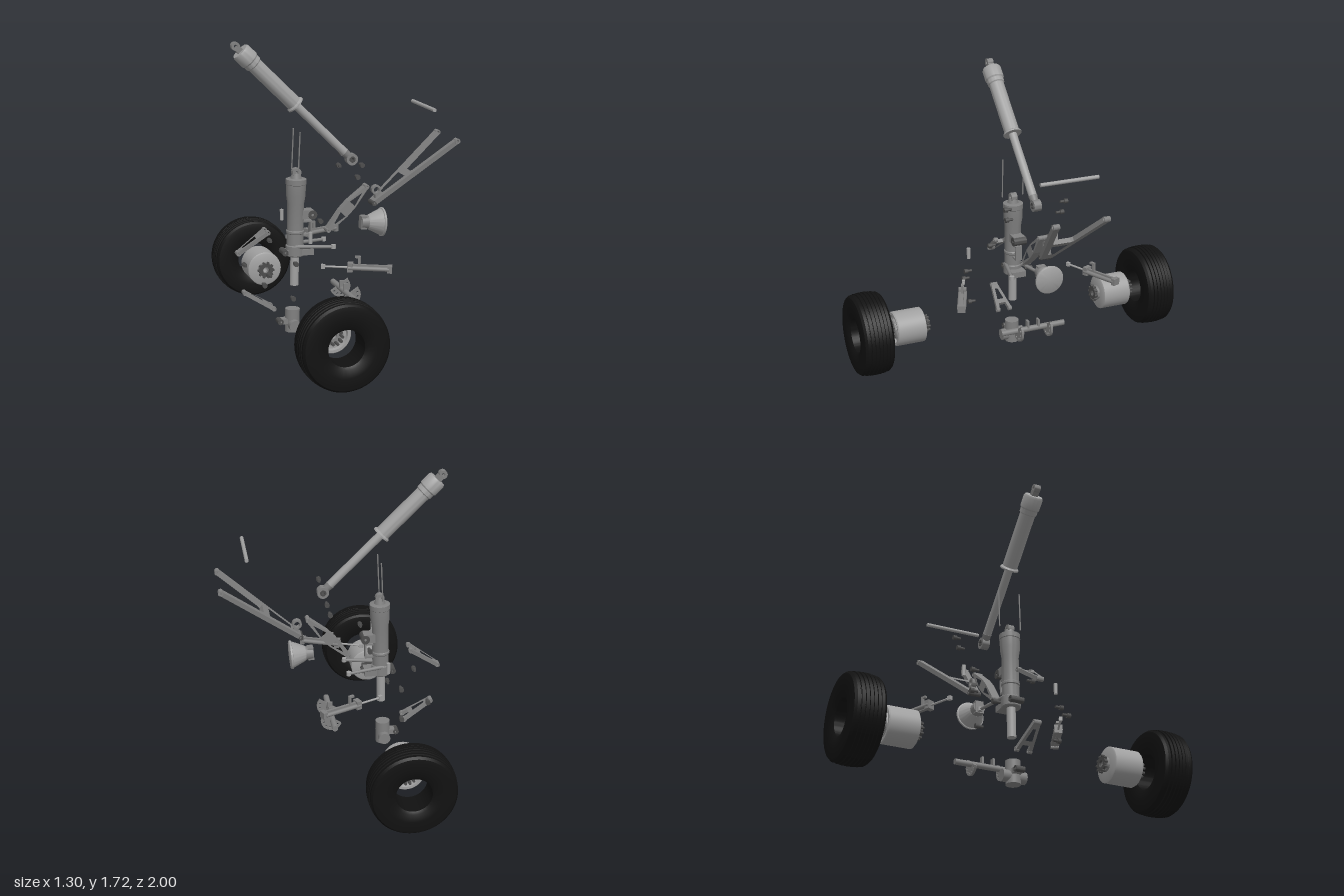
import * as THREE from 'three';
import { toCreasedNormals, mergeGeometries } from 'three/addons/utils/BufferGeometryUtils.js';

const V = (x, y, z = 0) => new THREE.Vector3(x, y, z);
const paint = (name, color) => new THREE.MeshStandardMaterial({ name, color });

export function createModel() {
  const root = new THREE.Group();
  root.name = 'explodedLandingGear';
  const rubber = paint('rubber', 0x111111);
  const light = paint('lightMetal', 0xa0a0a0);
  const mid = paint('greyMetal', 0x808080);
  const dark = paint('darkMetal', 0x4c4c4c);

  const add = (name, geo, mat, parent = root) => {
    const m = new THREE.Mesh(geo, mat);
    m.name = name;
    parent.add(m);
    return m;
  };
  // Cylinder or cone between two points
  const rodGeo = (a, b, r, r2 = r, seg = 24) => {
    const d = b.clone().sub(a);
    const g = new THREE.CylinderGeometry(r2, r, d.length(), seg);
    g.applyQuaternion(new THREE.Quaternion().setFromUnitVectors(V(0, 1), d.normalize()));
    return g.translate((a.x + b.x) / 2, (a.y + b.y) / 2, (a.z + b.z) / 2);
  };
  const rod = (name, mat, a, b, r, r2, seg, parent) => add(name, rodGeo(a, b, r, r2, seg), mat, parent);
  const box = (name, mat, w, h, d, x, y, z, parent) =>
    add(name, new THREE.BoxGeometry(w, h, d).translate(x, y, z), mat, parent);
  // Turned part; profile is [radius, height] pairs
  const turned = (pts, seg = 40, crease = 0.6) => toCreasedNormals(
    new THREE.LatheGeometry(pts.map(p => new THREE.Vector2(...p)), seg), crease);
  // Eyelet with its bore along z
  const eye = (name, mat, x, y, z, R, r, d, parent) => add(name,
    turned([[r, -d / 2], [R, -d / 2], [R, d / 2], [r, d / 2], [r, -d / 2]], 28)
      .rotateX(Math.PI / 2).translate(x, y, z), mat, parent);
  // Flat plate with cut-outs, centred on its thickness
  const plateGeo = (pts, holes, depth) => {
    const s = new THREE.Shape(pts.map(p => new THREE.Vector2(...p)));
    for (const h of holes) s.holes.push(new THREE.Path(h.map(p => new THREE.Vector2(...p))));
    return new THREE.ExtrudeGeometry(s, { depth, bevelEnabled: false }).translate(0, 0, -depth / 2);
  };
  const mirrorPts = half => [...half, ...half.slice().reverse().map(([u, v]) => [u, -v])];
  // Lays a plate along a->b in the xy plane with its width along z
  const along = (geo, a, b) => {
    const X = b.clone().sub(a).normalize();
    const M = new THREE.Matrix4().makeBasis(X, V(0, 0, 1), V(X.y, -X.x, 0)).setPosition(a);
    return geo.applyMatrix4(M);
  };

  // Wheels and brake hubs
  for (const side of [1, -1]) {
    const wheel = new THREE.Group();
    wheel.name = side > 0 ? 'frontWheel' : 'rearWheel';
    wheel.position.set(-0.31, 0.247, 0);
    if (side < 0) wheel.rotation.x = Math.PI;
    root.add(wheel);
    const tread = [];
    for (let i = -3; i <= 3; i++) {
      const z = i * 0.022, r = 0.245 - Math.abs(i) ** 2 * 0.0009;
      tread.push([r, z - 0.008], [r, z + 0.008]);
      if (i < 3) tread.push([r - 0.006, z + 0.0095], [r - 0.006, z + 0.0125]);
    }
    const tyre = [[0.1, -0.075], [0.115, -0.085], [0.16, -0.09], [0.205, -0.09], [0.226, -0.087],
      ...tread, [0.226, 0.087], [0.205, 0.09], [0.16, 0.09], [0.115, 0.085], [0.1, 0.075], [0.1, -0.075]];
    add('tyre', turned(tyre, 72).rotateX(Math.PI / 2).translate(0, 0, 0.908), rubber, wheel);
    add('brakeHub', turned([[0.02, 0.578], [0.095, 0.578], [0.103, 0.583], [0.103, 0.75], [0.098, 0.757],
      [0.083, 0.757], [0.08, 0.735], [0.062, 0.735], [0.058, 0.752], [0.02, 0.752], [0.02, 0.578]], 48)
      .rotateX(Math.PI / 2), light, wheel);
    eye('hubFace', mid, 0, 0, 0.756, 0.056, 0.02, 0.01, wheel);
    eye('hubNeck', mid, 0, 0, 0.571, 0.042, 0.02, 0.018, wheel);
    eye('brakeRotor', dark, 0, 0, 0.55, 0.042, 0.02, 0.014, wheel);
    for (let i = 0; i < 10; i++) {
      const a = i * Math.PI / 5, c = Math.cos(a), s = Math.sin(a);
      rod('hubBolt', dark, V(c * 0.04, s * 0.04, 0.75), V(c * 0.04, s * 0.04, 0.802), 0.008, 0.008, 10, wheel);
      rod('rotorTooth', dark, V(c * 0.045, s * 0.045, 0.54), V(c * 0.045, s * 0.045, 0.56), 0.007, 0.007, 8, wheel);
    }
  }

  // Retraction actuator, built upright then laid along its axis
  const ram = new THREE.Group();
  ram.name = 'retractionActuator';
  ram.position.set(0.05, 1.025, 0);
  ram.rotation.z = Math.PI / 4;
  root.add(ram);
  eye('rodEnd', mid, 0, 0, 0, 0.034, 0.014, 0.045, ram);
  eye('rodBearing', dark, 0, 0, 0, 0.018, 0.009, 0.05, ram);
  rod('rodNeck', mid, V(0, 0.026), V(0, 0.06), 0.022, 0.026, 24, ram);
  rod('pistonRod', light, V(0, 0.055), V(0, 0.48), 0.024, 0.024, 28, ram);
  add('barrel', turned([[0, 0.465], [0.054, 0.465], [0.054, 0.473], [0.044, 0.482], [0.044, 0.8], [0.05, 0.806],
    [0.05, 0.83], [0.056, 0.838], [0.056, 0.9], [0.05, 0.912], [0, 0.912]]), light, ram);
  box('topLug', mid, 0.036, 0.04, 0.036, 0, 0.925, 0, ram);
  eye('topEye', mid, 0, 0.952, 0, 0.024, 0.01, 0.036, ram);

  // Main shock strut, leaning slightly
  const strut = new THREE.Group();
  strut.name = 'shockStrut';
  strut.position.set(-0.304, 0, 0);
  strut.rotation.z = -0.026;
  root.add(strut);
  add('strutCylinder', turned([[0, 0.485], [0.05, 0.485], [0.054, 0.49], [0.054, 0.545], [0.048, 0.55], [0.048, 0.615],
    [0.052, 0.62], [0.052, 0.632], [0.048, 0.637], [0.048, 0.79], [0.056, 0.84], [0.056, 0.9], [0.059, 0.903],
    [0.059, 0.932], [0.05, 0.936], [0, 0.936]]), mid, strut);
  rod('strutPiston', light, V(0, 0.31), V(0, 0.49), 0.025, 0.025, 28, strut);
  rod('strutCap', mid, V(0, 0.93), V(0, 0.965), 0.034, 0.024, 24, strut);
  eye('strutEye', mid, 0, 0.97, 0, 0.026, 0.009, 0.036, strut);
  box('sideBracket', mid, 0.07, 0.05, 0.07, 0.065, 0.727, 0, strut);
  eye('sideLug', dark, 0.092, 0.725, 0, 0.026, 0.008, 0.08, strut);
  for (const y of [0.605, 0.685]) box('guardArm', mid, 0.05, 0.01, 0.04, 0.062, y, 0, strut);
  box('guardBar', mid, 0.01, 0.09, 0.04, 0.089, 0.645, 0, strut);
  eye('torqueLug', dark, -0.066, 0.51, 0, 0.018, 0.007, 0.08, strut);
  box('torqueLugBase', mid, 0.04, 0.028, 0.06, -0.045, 0.51, 0, strut);
  box('steeringCollar', mid, 0.08, 0.035, 0.09, 0.06, 0.51, 0, strut);
  for (const s of [1, -1]) {
    rod('sensorWire', mid, V(-0.286, 0.975, 0.065 * s), V(-0.274, 1.21, 0.065 * s), 0.004, 0.004, 8);
    rod('steeringArm', mid, V(-0.3, 0.545, 0.04 * s), V(-0.09, 0.54, 0.09 * s), 0.012, 0.009, 12);
    rod('steeringArmEnd', light, V(-0.088, 0.53, 0.091 * s), V(-0.088, 0.553, 0.091 * s), 0.014, 0.014, 16);
    rod('loosePin', light, V(-0.285, 0.625, 0.283 * s), V(-0.285, 0.69, 0.283 * s), 0.011, 0.011, 16);
  }

  // Axle fork under the strut
  const fork = new THREE.Group();
  fork.name = 'axleFork';
  root.add(fork);
  rod('forkSocket', mid, V(-0.31, 0.035), V(-0.307, 0.17), 0.042, 0.042, 28, fork);
  rod('forkSleeve', mid, V(-0.31, 0.08, -0.07), V(-0.31, 0.08, 0.07), 0.034, 0.034, 28, fork);
  box('forkLug', mid, 0.05, 0.03, 0.05, -0.36, 0.1, 0, fork);
  eye('forkEye', dark, -0.385, 0.1, 0, 0.017, 0.007, 0.055, fork);

  // Cross axle with drilled brake flanges
  const axle = new THREE.Group();
  axle.name = 'crossAxle';
  axle.position.set(0.005, 0.245, 0);
  root.add(axle);
  rod('axleBar', mid, V(0, 0, -0.2), V(0, 0, 0.2), 0.017, 0.017, 24, axle);
  const flange = [[-0.056, -0.005], [0.055, 0.045]];
  for (let i = 0; i <= 18; i++) {
    const a = 0.72 - i / 18 * 3.5;
    flange.push([0.008 + 0.062 * Math.cos(a), 0.062 * Math.sin(a)]);
  }
  const drills = [];
  for (let i = 0; i < 6; i++) {
    const a = 0.35 - i * 0.58, h = [];
    for (let k = 0; k < 8; k++) h.push([0.008 + 0.045 * Math.cos(a) + 0.007 * Math.cos(k * Math.PI / 4),
      0.045 * Math.sin(a) + 0.007 * Math.sin(k * Math.PI / 4)]);
    drills.push(h);
  }
  for (const s of [1, -1]) {
    add('brakeFlange', plateGeo(flange.slice(1), drills, 0.014).translate(0, 0, 0.093 * s), mid, axle);
    box('axleLug', mid, 0.03, 0.05, 0.012, 0, 0.028, 0.033 * s, axle);
  }

  // Side brace: forked upper frame with a ringed foot
  const a = V(0.18, 0.76), b = V(0.637, 1.12);
  const braceShape = mirrorPts([[0, 0.035], [0.58, 0.167], [0.58, 0.13], [0.29, 0.064], [0.28, 0.05]]);
  const braceHole = mirrorPts([[0.08, 0.018], [0.235, 0.052]]);
  add('sideBrace', along(plateGeo(braceShape, [braceHole], 0.027), a, b), mid);
  eye('braceFoot', dark, a.x, a.y, 0, 0.015, 0.007, 0.075);
  eye('braceRing', mid, 0.2, 0.835, 0, 0.028, 0.017, 0.03);
  box('braceRingBase', mid, 0.03, 0.04, 0.03, 0.207, 0.797, 0);
  for (const s of [1, -1]) eye('braceTip', mid, b.x, b.y, 0.149 * s, 0.0155, 0.008, 0.038);
  rod('bracePivotBar', light, V(0.49, 1.31, -0.172), V(0.49, 1.31, 0.172), 0.011, 0.011, 16);

  // Lower lock link: diamond truss
  const truss = plateGeo(mirrorPts([[0, 0.011], [0.13, 0.03], [0.2, 0.03], [0.33, 0.011]]),
    [[[0.04, 0], [0.125, 0.02], [0.125, -0.02]], [[0.29, 0], [0.205, -0.02], [0.205, 0.02]]], 0.05);
  add('lockLink', truss.rotateZ(Math.atan2(0.235, 0.23)).translate(-0.095, 0.62, 0), mid);
  for (const [x, y] of [[-0.095, 0.62], [0.138, 0.86]]) eye('lockLinkEye', mid, x, y, 0, 0.013, 0.006, 0.056);

  // Torque links
  for (const [p, q] of [[V(-0.625, 0.525), V(-0.46, 0.64)], [V(-0.59, 0.29), V(-0.43, 0.19)]]) {
    const L = p.distanceTo(q);
    add('torqueLink', along(plateGeo(mirrorPts([[0, 0.02], [L, 0.048], [L, 0.028], [L - 0.04, 0.022]]),
      [mirrorPts([[0.04, 0.008], [L - 0.07, 0.02]])], 0.022), p, q), mid);
    eye('torqueLinkTip', mid, p.x, p.y, 0, 0.014, 0.007, 0.042);
    for (const s of [1, -1]) eye('torqueLinkHinge', mid, q.x, q.y, 0.038 * s, 0.014, 0.007, 0.022);
  }

  // Taxi lamp
  const lamp = new THREE.Group();
  lamp.name = 'taxiLamp';
  lamp.position.set(0.24, 0.64, 0);
  lamp.rotation.z = -Math.PI / 2 - 0.06;
  root.add(lamp);
  add('lampShell', turned([[0, -0.09], [0.04, -0.09], [0.046, -0.082], [0.078, -0.012], [0.084, -0.01],
    [0.084, 0], [0.078, 0.004], [0, 0.006]], 48), light, lamp);
  rod('lampSocket', mid, V(0, -0.13), V(0, -0.088), 0.036, 0.04, 24, lamp);
  box('lampMount', mid, 0.075, 0.035, 0.05, 0, -0.118, 0, lamp);

  // Steering actuators, splayed outward
  for (const s of [1, -1]) {
    const act = new THREE.Group();
    act.name = s > 0 ? 'frontSteeringActuator' : 'rearSteeringActuator';
    act.position.set(-0.23, 0.505, 0.34 * s);
    act.rotation.set(0, -s * Math.atan2(0.15, 0.35), -0.02);
    root.add(act);
    rod('steeringRod', light, V(0, 0), V(0.16, 0), 0.006, 0.006, 12, act);
    box('steeringRodEnd', light, 0.022, 0.024, 0.018, 0, 0, 0, act);
    box('steeringBody', mid, 0.235, 0.034, 0.014, 0.255, 0.003, 0, act);
    for (const k of [1, -1]) rod('steeringTube', mid, V(0.14, 0, 0.014 * k), V(0.365, 0, 0.014 * k), 0.012, 0.012, 16, act);
    box('steeringFrontCap', mid, 0.03, 0.05, 0.046, 0.15, 0.003, 0, act);
    box('steeringRearCap', mid, 0.025, 0.04, 0.046, 0.368, 0, 0, act);
    box('hookPost', mid, 0.014, 0.05, 0.016, 0.2, 0.04, 0, act);
    box('hookTip', mid, 0.03, 0.012, 0.016, 0.19, 0.062, 0, act);
  }

  // Loose bolts pulled out to each side: x, y, inner z
  const bolts = [[0.05, 1.025, 0.15], [0.03, 0.955, 0.135], [-0.195, 0.722, 0.15],
    [-0.365, 0.51, 0.235], [-0.532, 0.39, 0.185], [-0.375, 0.305, 0.21]];
  for (const [x, y, z] of bolts) for (const s of [1, -1]) {
    add('bolt', mergeGeometries([rodGeo(V(x, y, z * s), V(x, y, (z + 0.03) * s), 0.008, 0.008, 12),
      rodGeo(V(x, y, (z + 0.026) * s), V(x, y, (z + 0.047) * s), 0.014, 0.014, 12)]), dark);
  }
  return root;
}
